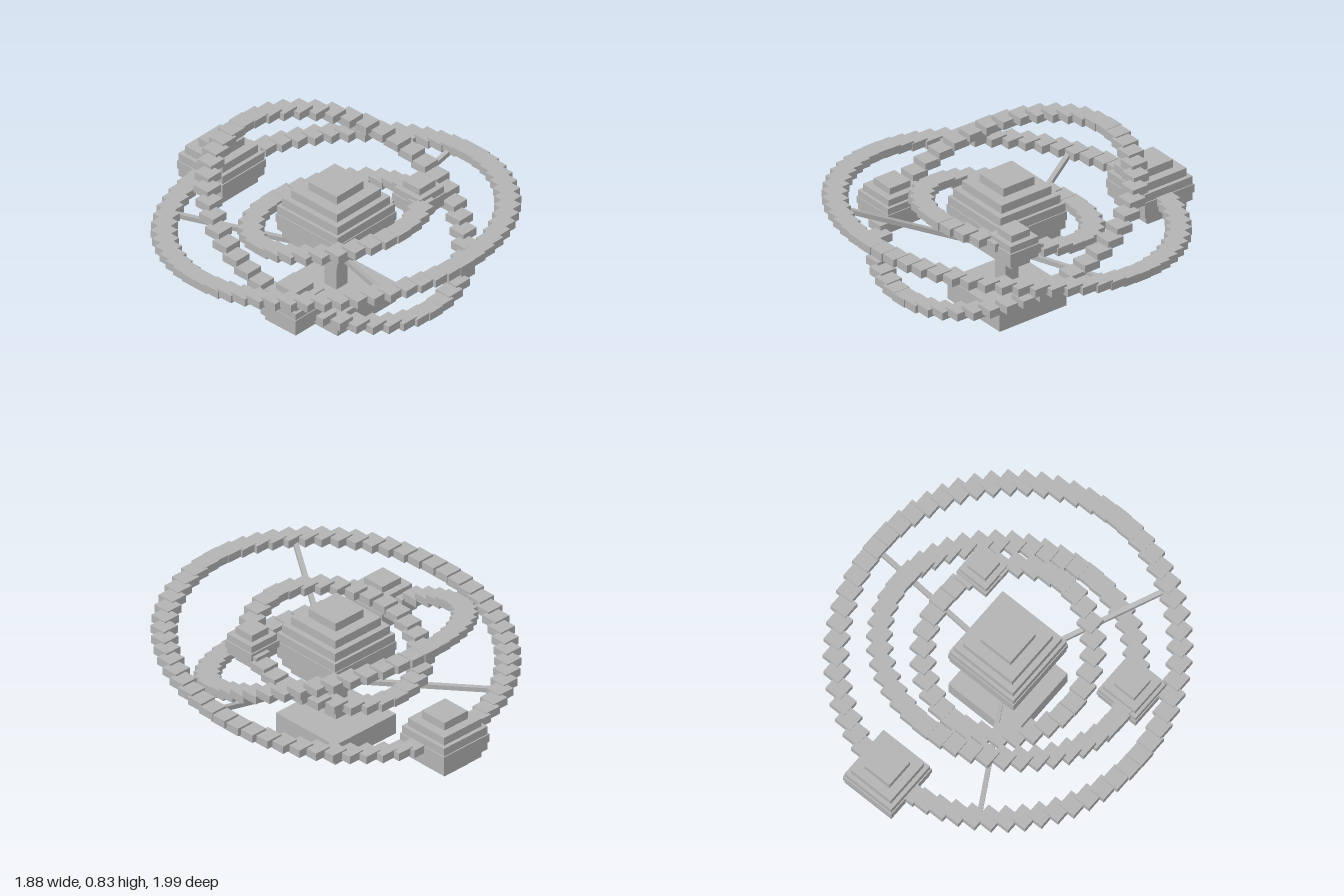
import * as THREE from 'three';

export function createModel() {
  const model = new THREE.Group();
  model.name = 'orrery';
  const grey = new THREE.MeshStandardMaterial({ color: 0xb3b3b3 });
  grey.name = 'grey';

  const HUB = new THREE.Vector3(0, 0.54, 0.057); // centre of all orbits

  function box(parent, name, w, h, d, x, y, z) {
    const mesh = new THREE.Mesh(new THREE.BoxGeometry(w, h, d), grey);
    mesh.name = name;
    mesh.position.set(x, y, z);
    parent.add(mesh);
    return mesh;
  }

  // Point on an orbit: circular in plan, rising towards the front by slope
  function orbitPoint(radius, slope, angle) {
    const dz = radius * Math.sin(angle);
    return new THREE.Vector3(HUB.x + radius * Math.cos(angle), HUB.y + slope * dz, HUB.z + dz);
  }

  // Ball made of stacked square slabs
  function steppedBall(name, centre, radius, layers) {
    const group = new THREE.Group();
    group.name = name;
    group.position.copy(centre);
    const h = (2 * radius) / layers;
    for (let i = 0; i < layers; i++) {
      const t = (2 * i + 1) / layers - 1;
      const w = 2 * radius * Math.sqrt(1 - t * t);
      box(group, 'slab', w, h * 1.02, w, 0, t * radius, 0);
    }
    model.add(group);
  }

  // Ring of upright square blocks
  function blockRing(name, radius, slope, count) {
    const group = new THREE.Group();
    group.name = name;
    for (let i = 0; i < count; i++) {
      const p = orbitPoint(radius, slope, (i / count) * Math.PI * 2);
      box(group, 'ringBlock', 0.1, 0.046, 0.1, p.x, p.y, p.z);
    }
    model.add(group);
  }

  // Stand
  box(model, 'base', 0.44, 0.12, 0.44, 0, 0.06, HUB.z);
  box(model, 'post', 0.086, 0.23, 0.086, 0, 0.235, HUB.z);

  // Central ball
  steppedBall('sun', HUB, 0.222, 9);

  // Orbits, each with its planet
  const orbits = [
    { name: 'inner', radius: 0.443, slope: 0.25, count: 32, angle: 0.587, size: 0.1, layers: 5 },
    { name: 'middle', radius: 0.668, slope: -0.404, count: 48, angle: 2.71, size: 0.132, layers: 7 },
    { name: 'outer', radius: 0.892, slope: 0.143, count: 64, angle: -1.487, size: 0.164, layers: 7 },
  ];
  for (const o of orbits) {
    blockRing(o.name + 'Ring', o.radius, o.slope, o.count);
    steppedBall(o.name + 'Planet', orbitPoint(o.radius, o.slope, o.angle), o.size, o.layers);
  }

  // Three struts from the post to the outer ring
  for (let i = 0; i < 3; i++) {
    const angle = (i * Math.PI * 2) / 3;
    const start = new THREE.Vector3(0.03 * Math.cos(angle), 0.33, HUB.z + 0.03 * Math.sin(angle));
    const end = orbitPoint(0.87, 0.143, angle);
    end.y -= 0.015;
    const mid = start.clone().add(end).multiplyScalar(0.5);
    const strut = box(model, 'strut', 0.026, 0.026, start.distanceTo(end), mid.x, mid.y, mid.z);
    strut.lookAt(end);
  }

  return model;
}
